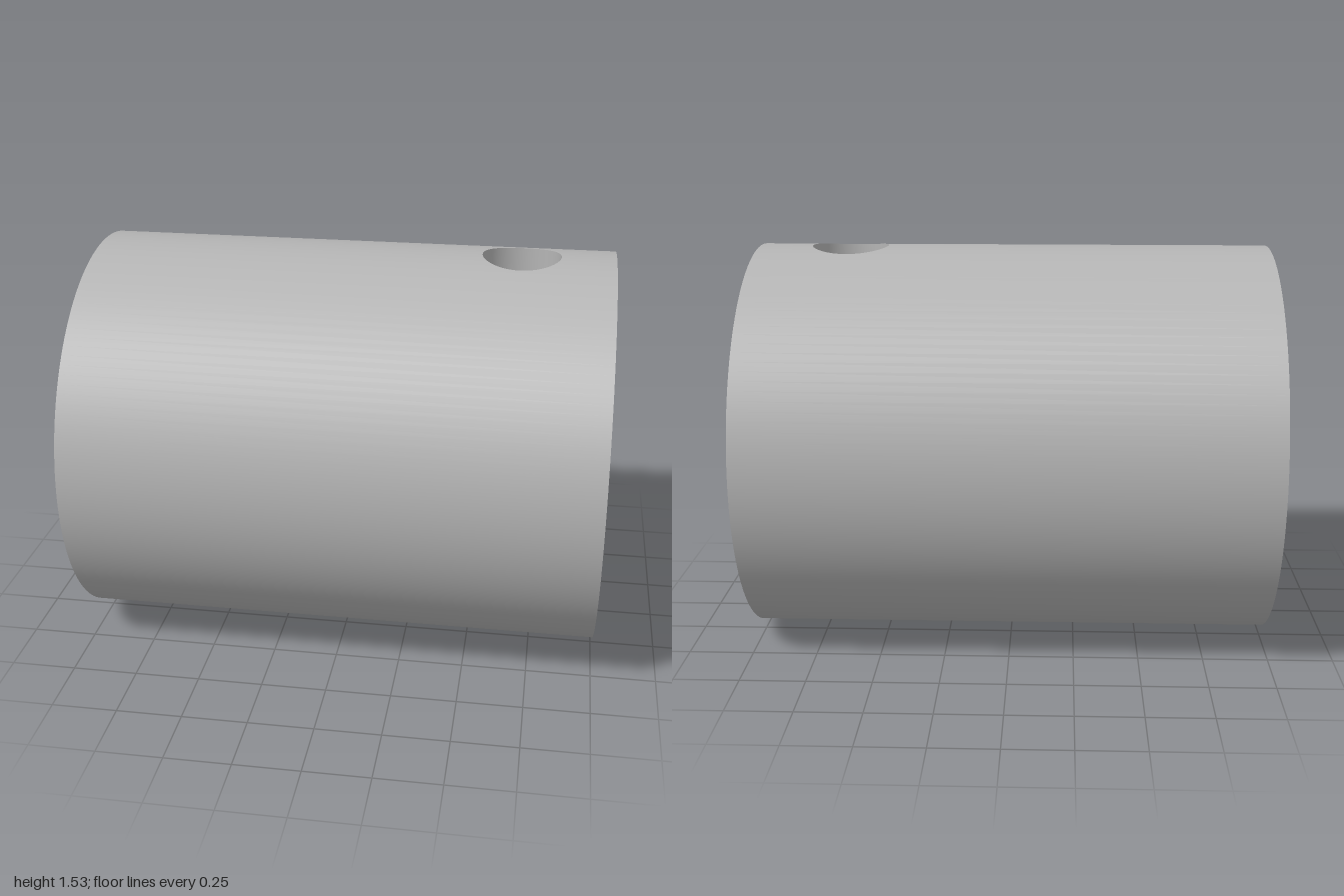
import * as THREE from 'three';
import { mergeGeometries } from 'three/addons/utils/BufferGeometryUtils.js';

const R = 0.765, BORE = 0.59, SHAFT = 0.245;    // body, large bore and shaft hole radii
const SCREW = 0.15, TAP = 0.095, SCREW_X = 0.643; // stepped screw hole in the top
const BORE_END = 0, SHAFT_END = 0.3, STEP_Y = 0.45;
const lerp = THREE.MathUtils.lerp;

// Grid surface from a rule f(u, v) -> { p: position, n: normal }, wound to agree with its normals
function surface(nu, nv, f) {
  const pos = [], nor = [], idx = [];
  for (let j = 0; j <= nv; j++) for (let i = 0; i <= nu; i++) {
    const { p, n } = f(i / nu, j / nv);
    pos.push(...p);
    nor.push(...n);
  }
  const vec = (a, k) => new THREE.Vector3().fromArray(a, k * 3);
  for (let j = 0; j < nv; j++) for (let i = 0; i < nu; i++) {
    const a = j * (nu + 1) + i, b = a + 1, c = a + nu + 1, d = c + 1;
    for (const [s, t, w] of [[a, b, d], [a, d, c]]) {
      const face = vec(pos, t).sub(vec(pos, s)).cross(vec(pos, w).sub(vec(pos, s)));
      idx.push(...(face.dot(vec(nor, s)) > 0 ? [s, t, w] : [s, w, t]));
    }
  }
  const g = new THREE.BufferGeometry();
  g.setAttribute('position', new THREE.Float32BufferAttribute(pos, 3));
  g.setAttribute('normal', new THREE.Float32BufferAttribute(nor, 3));
  g.setIndex(idx);
  return g;
}

// Point on a cylinder along x; angle 0 is the top, side -1 faces inward
const onCylinder = (r, side, x, a) => ({
  p: [x, r * Math.cos(a), r * Math.sin(a)],
  n: [0, side * Math.cos(a), side * Math.sin(a)],
});

const wall = (r, side, x0, x1, a0, a1, n) =>
  surface(n, 1, (u, v) => onCylinder(r, side, lerp(x0, x1, v), lerp(a0, a1, u)));

// Cylinder wall with a round hole through its top
function piercedWall(r, side, x0, x1, hole) {
  const h = hole * 1.3, a = Math.asin(h / r);
  const patch = surface(64, 6, (u, v) => {
    const t = u * 8, k = Math.floor(t) % 8, f = t - Math.floor(t);
    const corners = [[1, 0], [1, 1], [0, 1], [-1, 1], [-1, 0], [-1, -1], [0, -1], [1, -1]];
    const c = corners[k], d = corners[(k + 1) % 8];
    const ang = u * Math.PI * 2;
    const x = lerp(hole * Math.cos(ang), h * lerp(c[0], d[0], f), v);
    const phi = lerp(Math.asin(hole * Math.sin(ang) / r), a * lerp(c[1], d[1], f), v);
    return onCylinder(r, side, SCREW_X + x, phi);
  });
  return mergeGeometries([
    patch,
    wall(r, side, x0, SCREW_X - h, -a, a, 16),
    wall(r, side, SCREW_X + h, x1, -a, a, 16),
    wall(r, side, x0, x1, a, Math.PI * 2 - a, 120),
  ]);
}

// Upright hole wall; top and bottom give the height at each z
const shaftWall = (r, bottom, top) => surface(64, 1, (u, v) => {
  const c = Math.cos(u * Math.PI * 2), s = Math.sin(u * Math.PI * 2);
  return { p: [SCREW_X + r * c, lerp(bottom(r * s), top(r * s), v), r * s], n: [-c, 0, -s] };
});

// Flat ring or disc across the axis, facing +x or -x
const endFace = (x, inner, outer, side) => (inner
  ? new THREE.RingGeometry(inner, outer, 128)
  : new THREE.CircleGeometry(outer, 128)).rotateY(side * Math.PI / 2).translate(x, 0, 0);

export function createModel() {
  const model = new THREE.Group();
  model.name = 'collar';
  const body = new THREE.Group();
  body.name = 'body';
  body.position.y = R;
  model.add(body);

  const grey = new THREE.MeshStandardMaterial({ color: 0xb4b4b4 });
  grey.name = 'grey';
  const add = (name, geometry) => {
    const mesh = new THREE.Mesh(geometry, grey);
    mesh.name = name;
    body.add(mesh);
  };

  // Outer shell and its two ends
  add('outerWall', piercedWall(R, 1, -1, 1, SCREW));
  add('shaftEnd', endFace(1, SHAFT, R, 1));
  add('openEnd', endFace(-1, BORE, R, -1));

  // Large blind bore
  add('boreWall', wall(BORE, -1, -1, BORE_END, 0, Math.PI * 2, 128));
  add('boreFloor', endFace(BORE_END, 0, BORE, -1));

  // Small blind shaft hole
  add('shaftHoleWall', piercedWall(SHAFT, -1, SHAFT_END, 1, TAP));
  add('shaftHoleFloor', endFace(SHAFT_END, 0, SHAFT, 1));

  // Stepped screw hole running down into the shaft hole
  add('screwHoleWall', shaftWall(SCREW, () => STEP_Y, z => Math.sqrt(R * R - z * z)));
  add('screwHoleStep', new THREE.RingGeometry(TAP, SCREW, 64)
    .rotateX(-Math.PI / 2).translate(SCREW_X, STEP_Y, 0));
  add('tapHoleWall', shaftWall(TAP, z => Math.sqrt(SHAFT * SHAFT - z * z), () => STEP_Y));

  return model;
}
